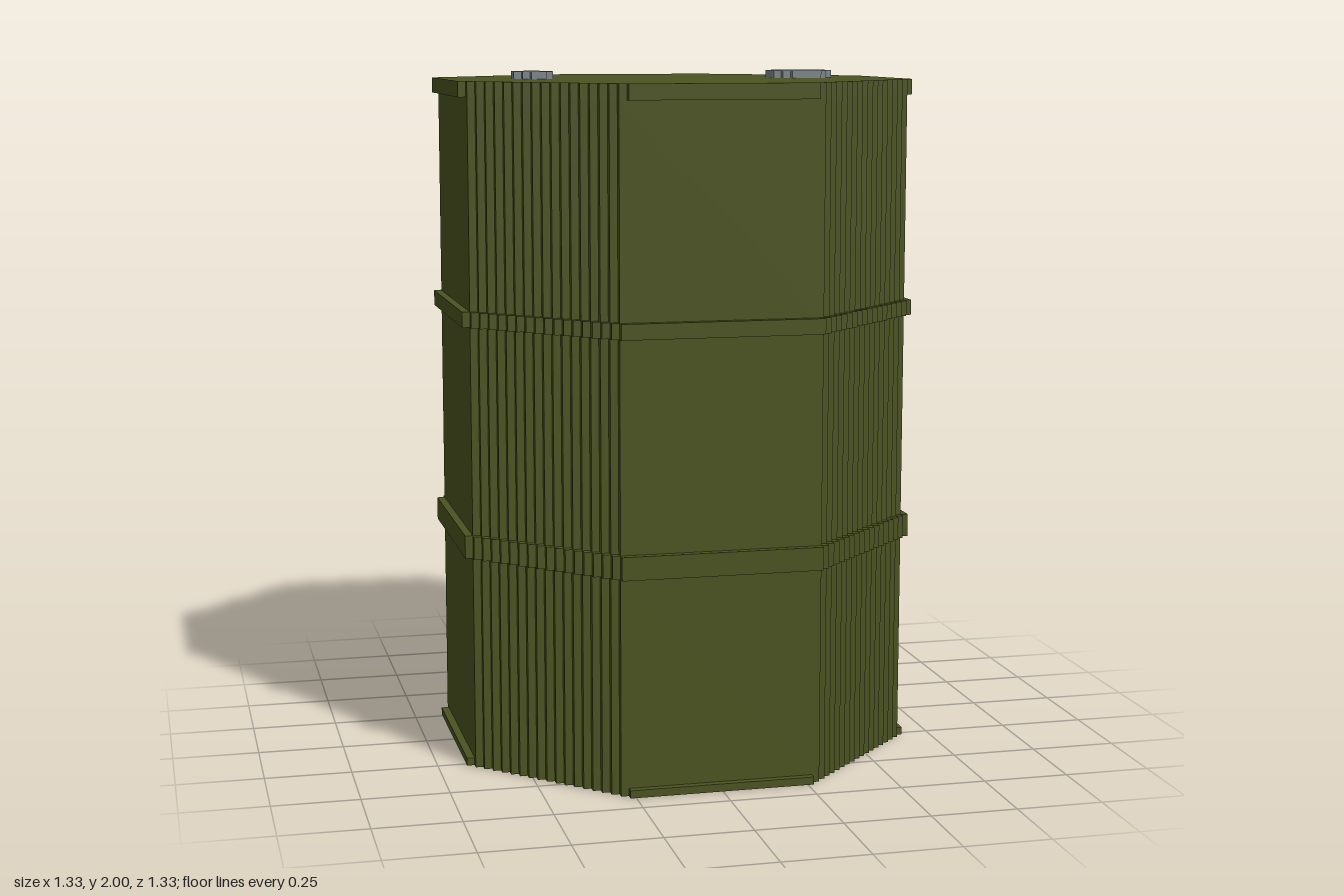
import * as THREE from 'three';

const CELL = 1 / 45; // one voxel; the drum is 60 x 90 x 60 cells

// Outline from rows [zEnd, xMin, xMax], listed from z = 0 outwards and mirrored in z
function steppedShape(rows) {
  const right = [], left = [];
  let z = 0;
  for (const [zEnd, xMin, xMax] of rows) {
    right.push([xMax, z], [xMax, zEnd]);
    left.push([xMin, z], [xMin, zEnd]);
    z = zEnd;
  }
  const flip = (list) => list.map(([x, y]) => [x, -y]);
  const ring = [...right, ...left.slice().reverse(), ...flip(left).slice(1), ...flip(right).reverse()];
  ring.pop(); // same as the first point
  return new THREE.Shape(ring.map(([x, y]) => new THREE.Vector2(x * CELL, y * CELL)));
}

// Octagon with stepped diagonals: |x| and |z| up to radius, |x| + |z| up to diagonal
function octagonRows(radius, diagonal) {
  const rows = [[diagonal - radius, -radius, radius]];
  for (let z = diagonal - radius + 1; z <= radius; z++) rows.push([z, z - diagonal, diagonal - z]);
  return rows;
}

function layer(name, rows, bottom, top, material) {
  const geometry = new THREE.ExtrudeGeometry(steppedShape(rows), {
    depth: (top - bottom) * CELL, bevelEnabled: false,
  });
  geometry.rotateX(-Math.PI / 2);
  geometry.translate(0, bottom * CELL, 0);
  const mesh = new THREE.Mesh(geometry, material);
  mesh.name = name;
  return mesh;
}

export function createModel() {
  const green = new THREE.MeshStandardMaterial({ color: 0x4b5320 });
  green.name = 'olive green paint';
  const grey = new THREE.MeshStandardMaterial({ color: 0x7d868a });
  grey.name = 'grey metal';

  const group = new THREE.Group();
  group.name = 'drum';

  const wall = octagonRows(29, 42);
  const rim = octagonRows(30, 42);
  const hoop = octagonRows(30, 43);

  // Drum, stacked from the floor up
  const layers = [
    ['bottomRim', rim, 0, 1],
    ['lowerWall', wall, 1, 28],
    ['lowerHoop', hoop, 28, 31],
    ['middleWall', wall, 31, 58],
    ['upperHoop', hoop, 58, 60],
    ['upperWall', wall, 60, 87],
    ['topRim', rim, 87, 89],
  ];
  for (const [name, rows, bottom, top] of layers) group.add(layer(name, rows, bottom, top, green));

  // Two plugs on the lid
  group.add(layer('largePlug', [[2, 14, 22], [3, 15, 21], [4, 16, 20]], 89, 90, grey));
  group.add(layer('smallPlug', [[1, -21, -16], [2, -20, -16], [3, -19, -17]], 89, 90, grey));

  return group;
}
